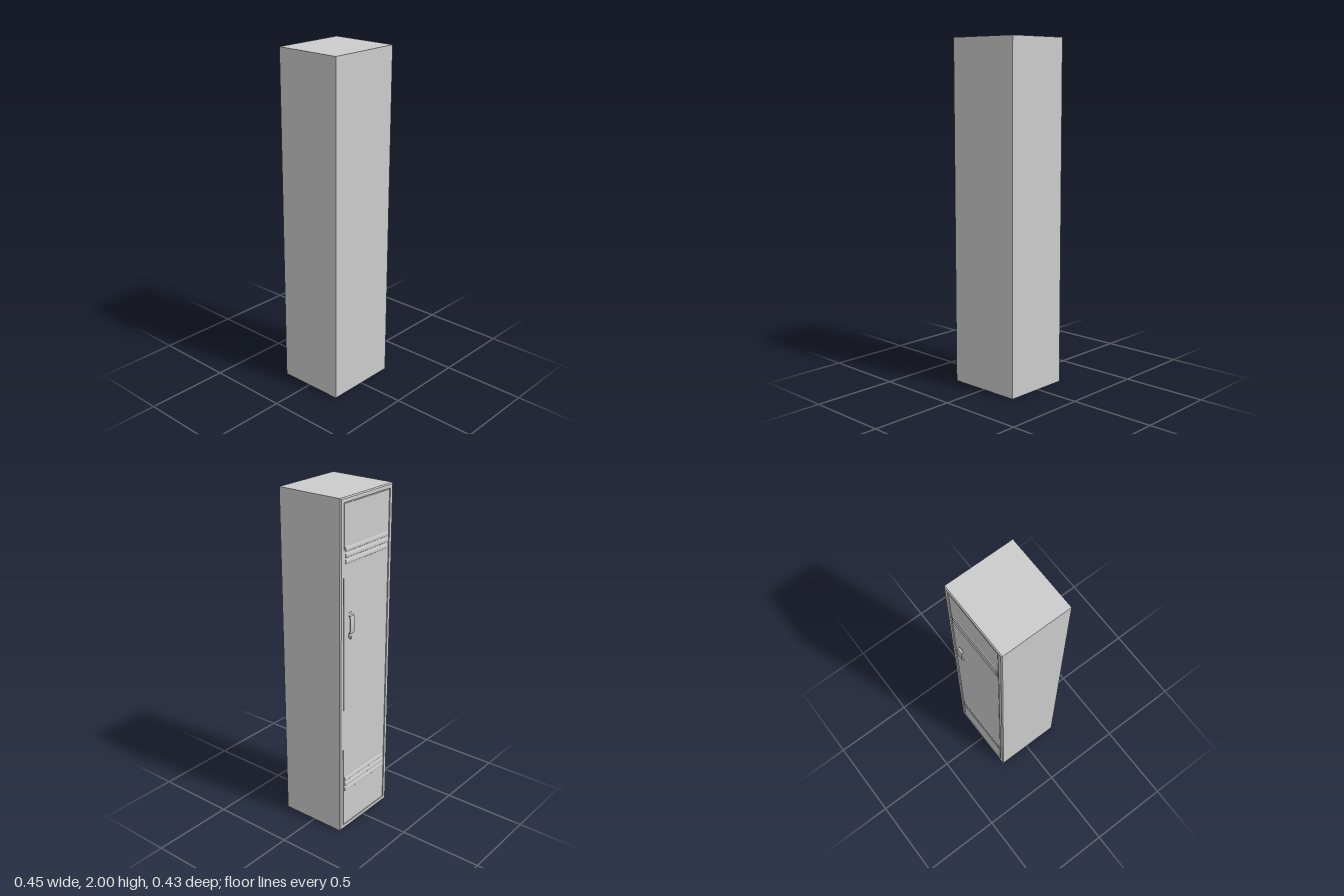
import * as THREE from 'three';

const grey = new THREE.MeshStandardMaterial({ color: 0xcccccc });
const W = 0.226, H = 2, BACK = 0.213, BASE = 0.194, FACE = 0.2, DOOR = 0.198;

function add(parent, name, geometry, x = 0, y = 0, z = 0) {
  const mesh = new THREE.Mesh(geometry, grey);
  mesh.name = name;
  mesh.position.set(x, y, z);
  parent.add(mesh);
  return mesh;
}

function rect(path, hw, y0, y1) {
  path.moveTo(-hw, y0);
  path.lineTo(hw, y0);
  path.lineTo(hw, y1);
  path.lineTo(-hw, y1);
  path.closePath();
  return path;
}

// Extrudes an (outward, up) profile sideways, centred on x = 0
function sideways(shape, width) {
  const g = new THREE.ExtrudeGeometry(shape, { depth: width, bevelEnabled: false, curveSegments: 10 });
  g.translate(0, 0, -width / 2);
  g.rotateY(-Math.PI / 2);
  return g;
}

// Frame ring whose outer edge tapers towards its face
function frameGeometry() {
  const shape = rect(new THREE.Shape(), W, 0, H);
  shape.holes.push(rect(new THREE.Path(), 0.2, 0.026, H - 0.026));
  const g = new THREE.ExtrudeGeometry(shape, { depth: FACE - BASE, bevelEnabled: false });
  const p = g.attributes.position;
  for (let i = 0; i < p.count; i++) {
    if (p.getZ(i) < 0.001) continue;
    const x = p.getX(i), y = p.getY(i);
    if (Math.abs(x) > W - 0.01) {
      p.setX(i, Math.sign(x) * (W - 0.006));
      p.setY(i, y < 1 ? 0.006 : H - 0.006);
    }
  }
  g.computeVertexNormals();
  return g;
}

export function createModel() {
  const model = new THREE.Group();
  model.name = 'locker';

  // Plain cabinet box
  add(model, 'cabinet', new THREE.BoxGeometry(2 * W, H, BACK + BASE), 0, H / 2, (BACK - BASE) / 2);

  // Door side, built facing +z and turned to -z
  const doorSide = new THREE.Group();
  doorSide.name = 'doorSide';
  doorSide.rotation.y = Math.PI;
  model.add(doorSide);

  add(doorSide, 'frame', frameGeometry(), 0, 0, BASE);
  add(doorSide, 'door', new THREE.BoxGeometry(0.388, H - 0.064, DOOR - BASE), 0, H / 2, (DOOR + BASE) / 2);

  // Rounded louvres, three near the top and three near the bottom
  const bump = new THREE.Shape();
  bump.moveTo(0, -0.012);
  bump.bezierCurveTo(0.006, -0.012, 0.006, 0.006, 0, 0.014);
  bump.closePath();
  const louvre = sideways(bump, 0.366);
  for (const y of [1.692, 0.302]) {
    for (let i = -1; i <= 1; i++) add(doorSide, 'louvre', louvre, 0, y + i * 0.034, DOOR - 0.0005);
  }

  // Arched pull handle with its latch parts
  const handle = new THREE.Group();
  handle.name = 'handle';
  handle.position.set(-0.138, 1.296, DOOR);
  doorSide.add(handle);

  const arch = new THREE.Shape();
  arch.moveTo(0, -0.055);
  arch.lineTo(0.011, -0.052);
  arch.quadraticCurveTo(0.021, 0, 0.011, 0.052);
  arch.lineTo(0, 0.055);
  arch.lineTo(0, 0.05);
  arch.lineTo(0.008, 0.047);
  arch.quadraticCurveTo(0.016, 0, 0.008, -0.047);
  arch.lineTo(0, -0.05);
  arch.closePath();
  add(handle, 'grip', sideways(arch, 0.036));
  add(handle, 'upperPlate', new THREE.BoxGeometry(0.03, 0.008, 0.003), 0, 0.066, 0);
  add(handle, 'lowerPlate', new THREE.BoxGeometry(0.03, 0.018, 0.004), 0, -0.066, 0.001);
  add(handle, 'hasp', new THREE.BoxGeometry(0.012, 0.016, 0.007), 0, -0.078, 0.002);

  return model;
}
